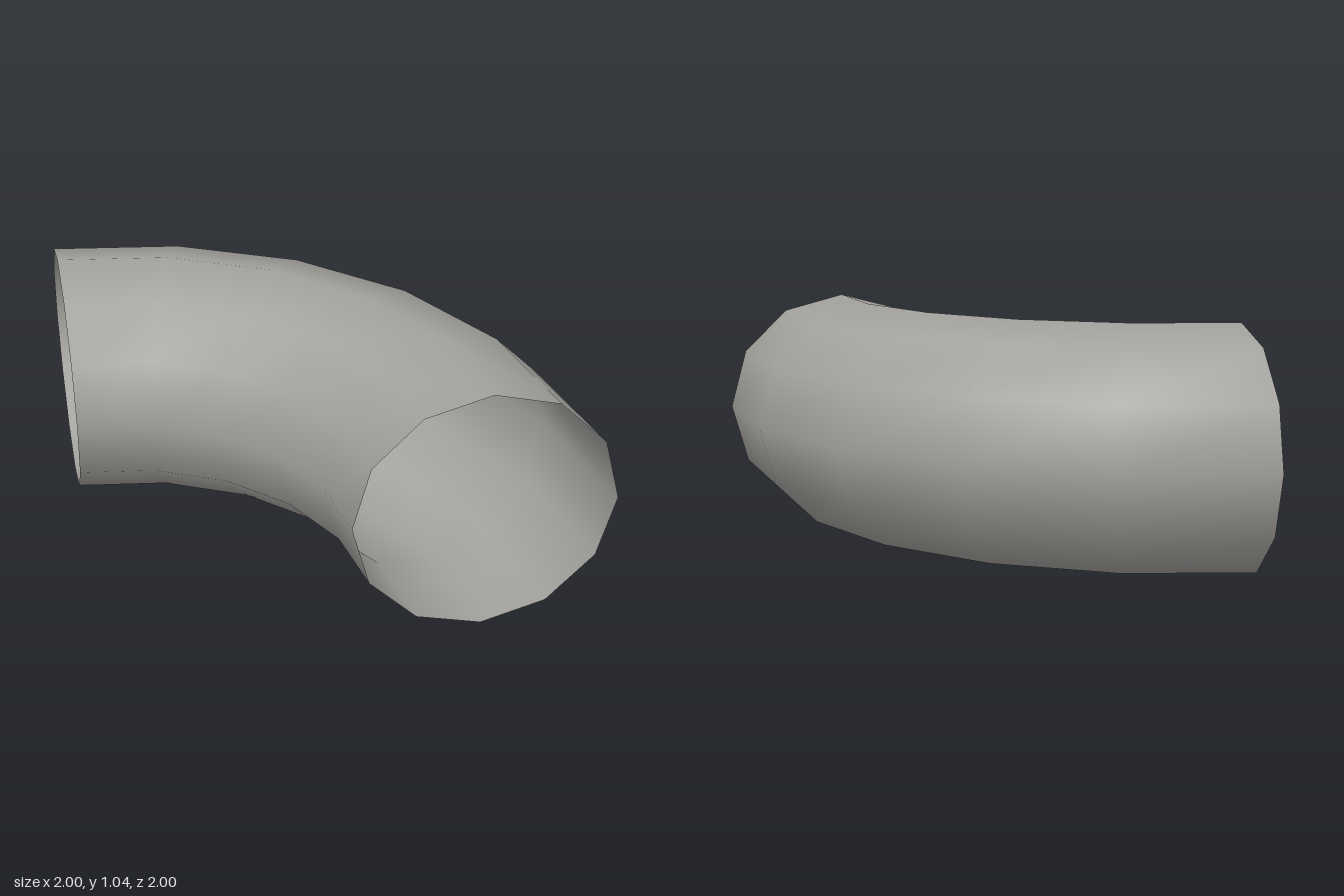
import * as THREE from 'three';

export function createModel() {
  const group = new THREE.Group();
  group.name = 'pipeElbow';

  const greyMetal = new THREE.MeshStandardMaterial({ color: 0xa3a19d, side: THREE.DoubleSide });
  greyMetal.name = 'grey metal';

  // Open quarter-turn pipe: 12 sides, 5 segments, slightly flattened in height
  const bendRadius = 1.472, halfWidth = 0.528, halfHeight = 0.5215;
  const geometry = new THREE.TorusGeometry(bendRadius, halfWidth, 12, 5, Math.PI / 2);
  geometry.scale(1, 1, halfHeight / halfWidth);
  geometry.rotateX(-Math.PI / 2);
  geometry.translate(-1, halfHeight, 1); // bend centre at the back-left corner of the turn

  const elbow = new THREE.Mesh(geometry, greyMetal);
  elbow.name = 'elbow';
  group.add(elbow);
  return group;
}
